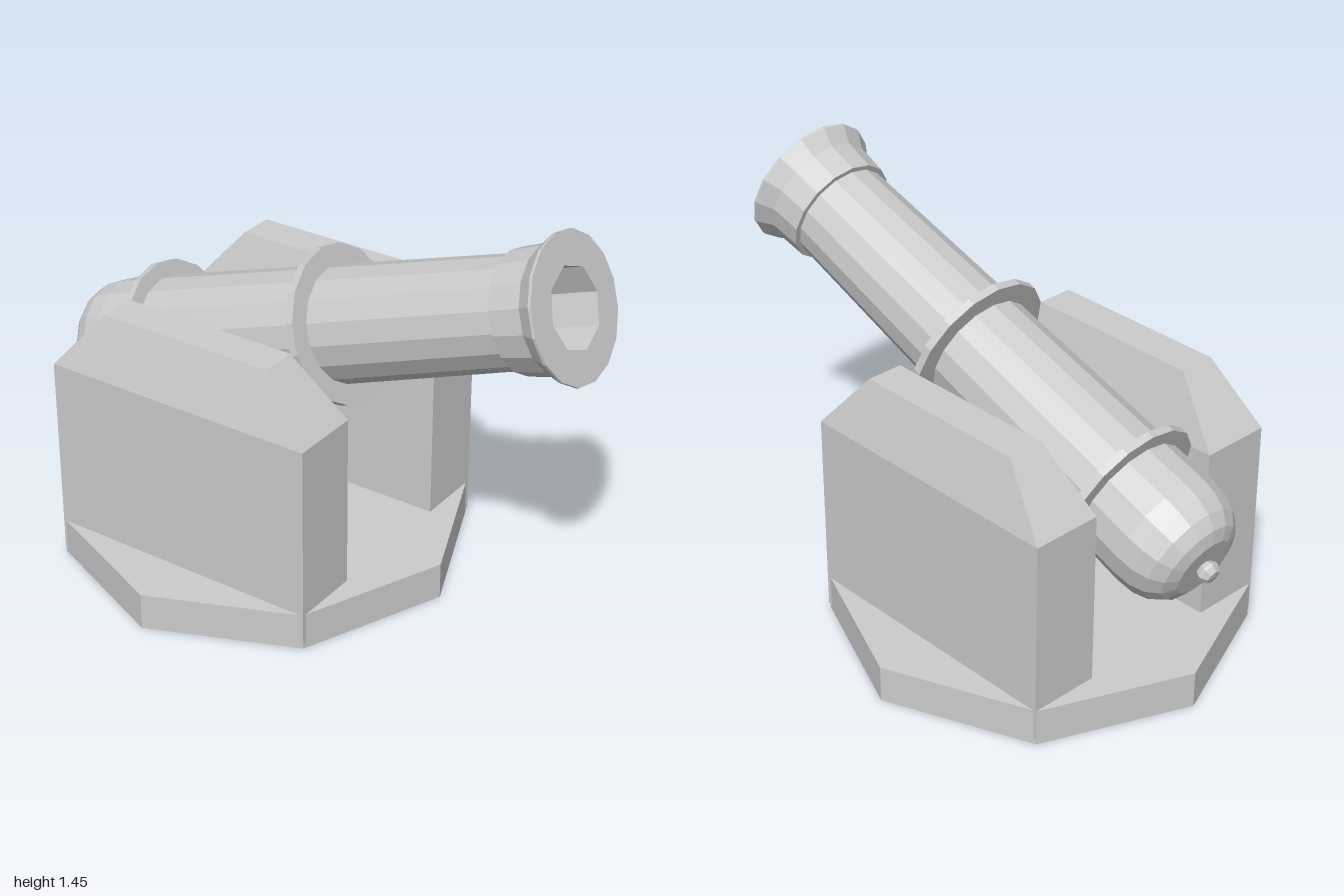
import * as THREE from 'three';

const material = new THREE.MeshStandardMaterial({ color: 0xcccccc, flatShading: true });

function part(name, geometry, parent) {
  const mesh = new THREE.Mesh(geometry, material);
  mesh.name = name;
  parent.add(mesh);
  return mesh;
}

// Turned part: profile of [radius, position along the axis], running upwards
function turned(profile, sides = 16) {
  return new THREE.LatheGeometry(profile.map(([r, y]) => new THREE.Vector2(r, y)), sides);
}

function polygonPoints(radius, sides) {
  return Array.from({ length: sides }, (_, i) => {
    const a = (i / sides) * Math.PI * 2;
    return new THREE.Vector2(Math.cos(a) * radius, Math.sin(a) * radius);
  });
}

// Block whose upper section tapers in on all four sides
function cheekGeometry() {
  const geometry = new THREE.BoxGeometry(1, 1, 1, 1, 2, 1);
  const p = geometry.attributes.position;
  for (let i = 0; i < p.count; i++) {
    const level = Math.round((p.getY(i) + 0.5) * 2);
    const top = level === 2;
    p.setXYZ(i, p.getX(i) * (top ? 0.645 : 1.005), [0.02, 0.74, 0.95][level], p.getZ(i) * (top ? 0.13 : 0.25));
  }
  geometry.computeVertexNormals();
  return geometry;
}

export function createModel() {
  const model = new THREE.Group();
  model.name = 'cannon';

  // Octagonal base
  part('base', new THREE.CylinderGeometry(0.708, 0.708, 0.13, 8), model).position.set(-0.24, 0.065, 0);

  // Pair of supports beside the barrel
  for (const side of [1, -1]) {
    part(side > 0 ? 'frontCheek' : 'backCheek', cheekGeometry(), model).position.set(-0.2375, 0, side * 0.38);
  }

  // Barrel group: origin at the muzzle, +y along the bore axis
  const gun = new THREE.Group();
  gun.name = 'gun';
  gun.position.set(0.91, 1.22, 0);
  gun.rotation.z = THREE.MathUtils.degToRad(-70);
  model.add(gun);

  // Rounded breech, tapering tube, muzzle band and flare
  part('barrel', turned([
    [0, -1.985], [0.11, -1.985], [0.155, -1.965], [0.19, -1.925], [0.209, -1.875], [0.215, -1.81],
    [0.18, -0.18], [0.198, -0.18], [0.205, -0.065], [0.24, -0.01], [0.24, 0],
  ]), gun);

  // Flat muzzle face with an eight-sided opening
  const face = new THREE.Shape(polygonPoints(0.24, 16));
  face.holes.push(new THREE.Path(polygonPoints(0.136, 8).reverse()));
  part('muzzleFace', new THREE.ShapeGeometry(face).rotateX(-Math.PI / 2), gun);

  // Bore wall and floor, facing inwards
  part('bore', turned([[0.136, 0], [0.136, -0.85], [0, -0.85]], 8), gun);

  // Thin reinforcing rings
  for (const [name, y] of [['middleRing', -0.9], ['breechRing', -1.63]]) {
    part(name, turned([[0.17, -0.014], [0.265, -0.014], [0.265, 0.014], [0.17, 0.014]]), gun).position.y = y;
  }

  // Small knob at the breech
  part('breechKnob', turned([
    [0.025, -1.975], [0.039, -2.0], [0.039, -2.012], [0.025, -2.03], [0, -2.033],
  ].reverse(), 8), gun);

  return model;
}
